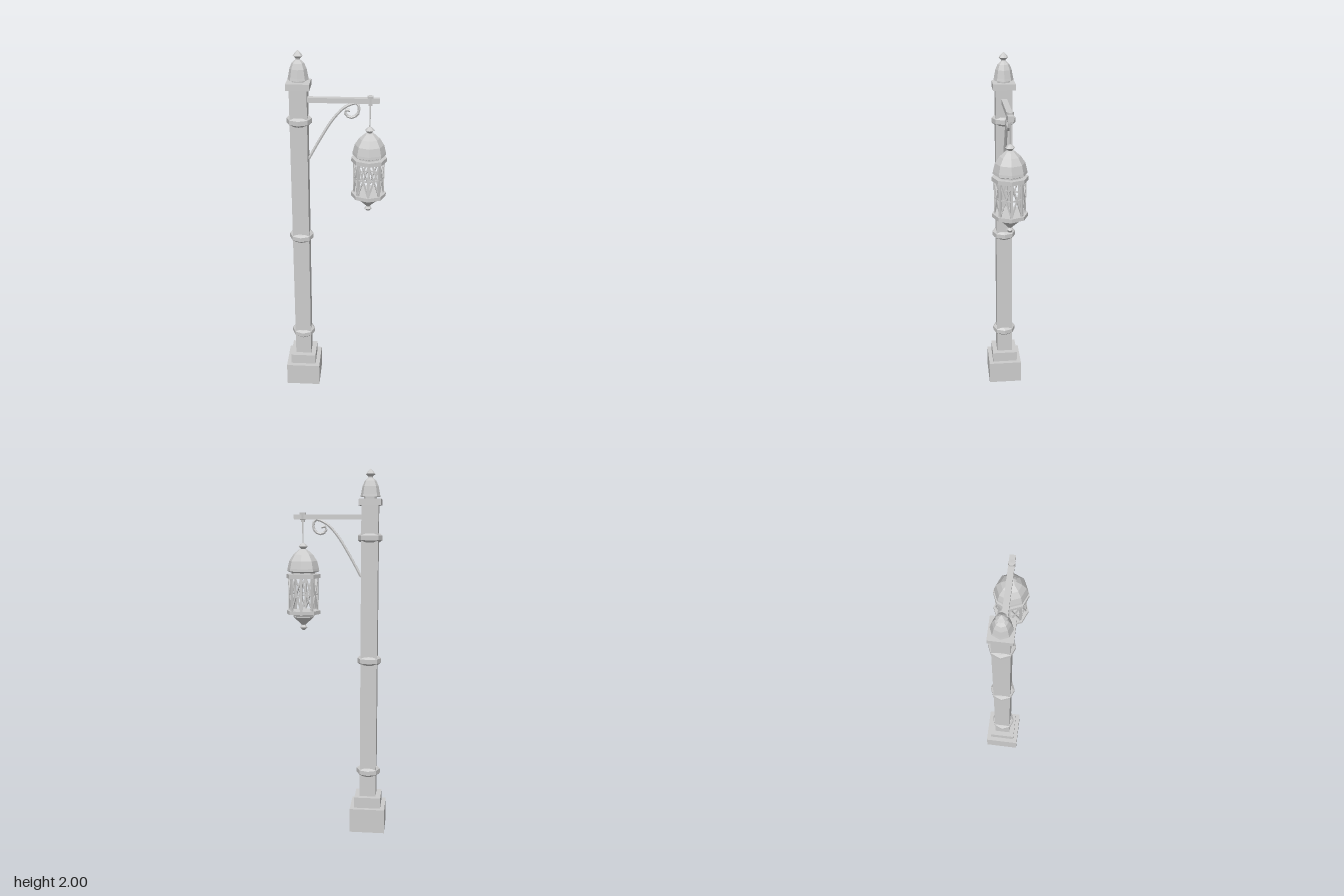
import * as THREE from 'three';

const grey = new THREE.MeshStandardMaterial({ color: 0xcccccc, flatShading: true });
grey.name = 'grey stone and iron';

const POST_X = -0.182, LAMP_X = 0.183;

export function createModel() {
  const model = new THREE.Group();
  model.name = 'lampPost';

  const add = (name, geometry, x = 0, y = 0, z = 0, parent = model) => {
    const mesh = new THREE.Mesh(geometry, grey);
    mesh.name = name;
    mesh.position.set(x, y, z);
    parent.add(mesh);
    return mesh;
  };
  // Box given by its bottom and top heights
  const block = (name, width, y0, y1) =>
    add(name, new THREE.BoxGeometry(width, y1 - y0, width), POST_X, (y0 + y1) / 2);
  // Faceted turned part; profile runs from bottom to top as [radius, y]
  const turned = (name, profile, x, y = 0, sides = 8) =>
    add(name, new THREE.LatheGeometry(profile.map(p => new THREE.Vector2(...p)), sides), x, y);

  // Stepped base, post and capital
  block('base', 0.194, 0, 0.135);
  block('baseStep', 0.146, 0.135, 0.195);
  block('post', 0.09, 0.195, 1.81);
  block('capital', 0.12, 1.81, 1.843);

  // Octagonal bands round the post
  for (const y of [0.335, 0.972, 1.64]) {
    turned('band', [[0.04, -0.025], [0.054, -0.023], [0.066, -0.012],
      [0.066, 0.012], [0.054, 0.023], [0.04, 0.025]], POST_X, y);
  }

  // Domed finial with a pointed knob
  turned('finial', [[0, 1.843], [0.034, 1.843], [0.034, 1.855], [0.054, 1.855], [0.051, 1.868],
    [0.043, 1.91], [0.031, 1.938], [0.012, 1.954], [0.012, 1.96],
    [0.026, 1.973], [0.014, 1.987], [0, 2]], POST_X);

  // Arm, hanger and curled brace
  add('arm', new THREE.BoxGeometry(0.367, 0.026, 0.03), 0.0465, 1.75);
  turned('hangerNut', [[0, 1.724], [0.012, 1.724], [0.012, 1.734], [0.018, 1.736], [0.018, 1.764],
    [0.018, 1.774], [0, 1.775]], LAMP_X, 0, 6);
  add('hangerRod', new THREE.CylinderGeometry(0.004, 0.004, 0.13, 6), LAMP_X, 1.665);
  const bracePath = new THREE.CatmullRomCurve3([
    [-0.135, 1.43], [-0.07, 1.548], [-0.005, 1.652], [0.055, 1.715], [0.115, 1.735],
    [0.125, 1.69], [0.094, 1.66], [0.06, 1.672], [0.055, 1.698], [0.08, 1.697],
  ].map(([x, y]) => new THREE.Vector3(x, y, 0)));
  add('brace', new THREE.TubeGeometry(bracePath, 28, 0.008, 6), 0, 0);

  // Lantern roof with its knob
  turned('lanternRoof', [[0, 1.452], [0.07, 1.452], [0.089, 1.46], [0.087, 1.474], [0.077, 1.515],
    [0.054, 1.55], [0.024, 1.576], [0.012, 1.58], [0.026, 1.594], [0.014, 1.606], [0, 1.614]], LAMP_X);
  turned('lanternNeck', [[0.066, 1.43], [0.066, 1.455]], LAMP_X);

  // Upper and lower rims of the cage
  turned('upperRim', [[0, 1.422], [0.094, 1.422], [0.094, 1.444], [0, 1.444]], LAMP_X);
  turned('lowerRim', [[0, 1.216], [0.06, 1.216], [0.075, 1.225], [0.094, 1.225], [0.094, 1.245],
    [0, 1.245]], LAMP_X);

  // Pointed base and bottom knob
  turned('lanternBase', [[0, 1.133], [0.01, 1.137], [0.02, 1.15], [0.011, 1.163], [0.014, 1.168],
    [0.058, 1.208], [0.058, 1.217], [0, 1.217]], LAMP_X);

  // Eight open lattice panels with corner bars
  const cage = new THREE.Group();
  cage.name = 'lanternCage';
  cage.position.set(LAMP_X, 1.334, 0);
  model.add(cage);
  const radius = 0.08, height = 0.18;
  const panelWidth = 2 * radius * Math.sin(Math.PI / 8);
  const panelDepth = radius * Math.cos(Math.PI / 8);
  const slant = Math.atan2(panelWidth, height);
  const diagonal = Math.hypot(panelWidth, height) - 0.006;
  for (let i = 0; i < 8; i++) {
    const panel = new THREE.Group();
    panel.name = 'latticePanel';
    panel.rotation.y = (i + 0.5) * Math.PI / 4;
    cage.add(panel);
    for (const side of [-1, 1]) {
      add('diagonalBar', new THREE.BoxGeometry(0.007, diagonal, 0.007), 0, 0, panelDepth, panel)
        .rotation.z = side * slant;
    }
    add('crossBar', new THREE.BoxGeometry(panelWidth, 0.007, 0.006), 0, 0, panelDepth, panel);
    const corner = new THREE.Group();
    corner.name = 'cageCorner';
    corner.rotation.y = i * Math.PI / 4;
    cage.add(corner);
    add('cornerBar', new THREE.BoxGeometry(0.013, height, 0.01), 0, 0, radius - 0.002, corner);
  }

  return model;
}
